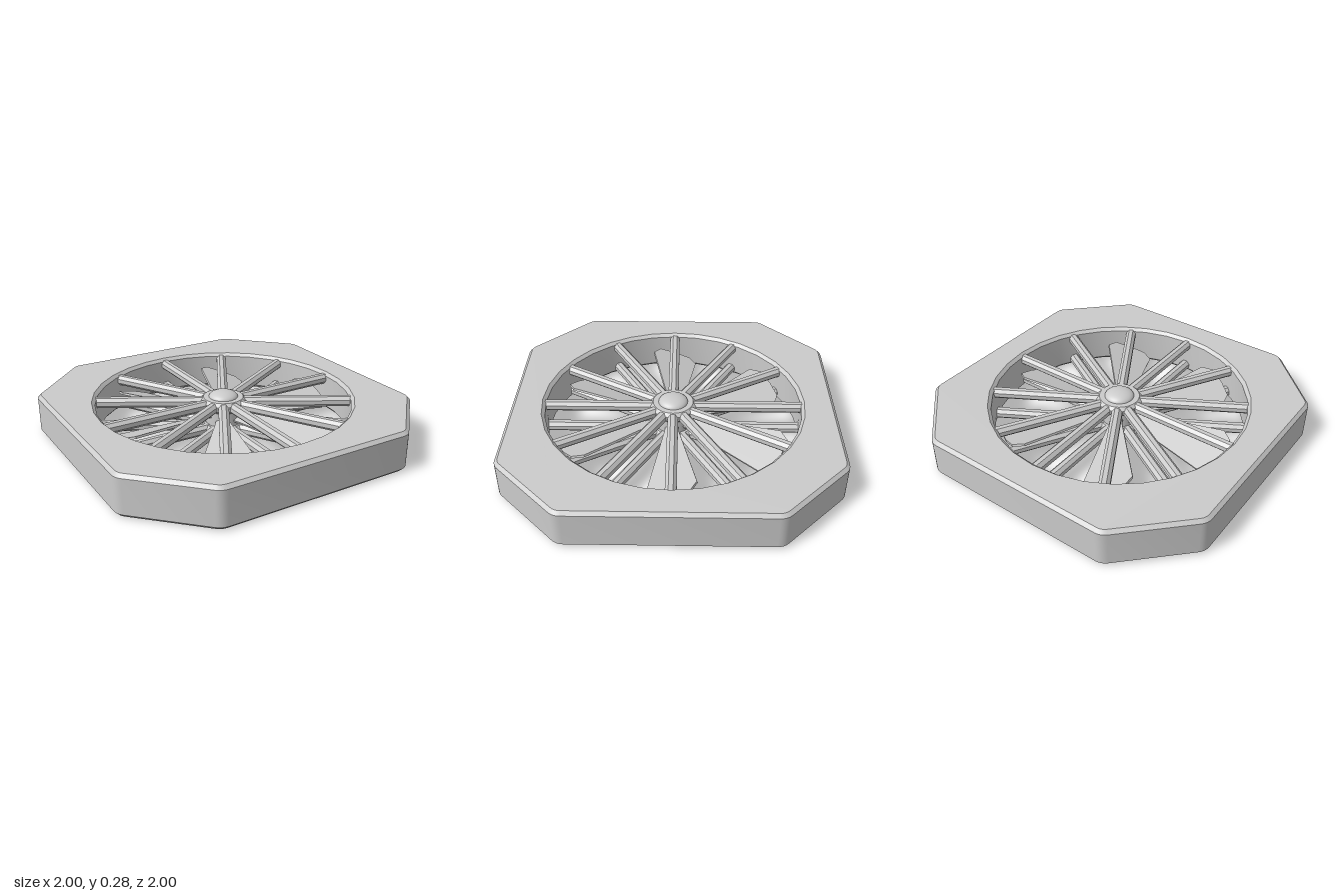
import * as THREE from 'three';
import { toCreasedNormals } from 'three/addons/utils/BufferGeometryUtils.js';

const smoothMat = new THREE.MeshStandardMaterial({ color: 0xcccccc });
const flatMat = new THREE.MeshStandardMaterial({ color: 0xcccccc, flatShading: true });

function mesh(name, geometry, material = smoothMat) {
  const m = new THREE.Mesh(geometry, material);
  m.name = name;
  return m;
}

// Chamfered square with slightly rounded corners, bevelled, with a round bore
function frameGeometry() {
  const half = 0.98, cut = 0.6, round = 0.03;
  const corners = [];
  for (let i = 0; i < 4; i++) {
    for (const [x, y] of [[half, cut], [cut, half]]) {
      corners.push(new THREE.Vector2(x, y).rotateAround(new THREE.Vector2(), i * Math.PI / 2));
    }
  }
  const points = [];
  corners.forEach((c, i) => {
    const toward = (o) => o.clone().sub(c).setLength(round).add(c);
    const a = toward(corners[(i + 7) % 8]), b = toward(corners[(i + 1) % 8]);
    points.push(...new THREE.QuadraticBezierCurve(a, c, b).getPoints(4));
  });
  const shape = new THREE.Shape(points);
  shape.holes.push(new THREE.Path().absarc(0, 0, 0.815, 0, Math.PI * 2, true));
  const g = new THREE.ExtrudeGeometry(shape, {
    depth: 0.21, bevelThickness: 0.02, bevelSize: 0.02, bevelSegments: 1, curveSegments: 16,
  });
  g.rotateX(-Math.PI / 2).translate(0, 0.02, 0);
  return toCreasedNormals(g, 0.5);
}

// Thin paddle lying along +x, pitched about its own length
function bladeGeometry() {
  const outline = [
    [0.08, -0.045], [0.15, -0.055], [0.68, -0.155], [0.735, -0.105], [0.745, 0],
    [0.735, 0.11], [0.67, 0.155], [0.15, 0.035], [0.08, 0.03],
  ].map(([x, y]) => new THREE.Vector2(x, y));
  const g = new THREE.ExtrudeGeometry(new THREE.Shape(outline), { depth: 0.014, bevelEnabled: false });
  return g.translate(0, 0, -0.007).rotateX(-Math.PI / 2).rotateX(0.35);
}

// Eight-sided bar along +x with a flat on top
function spokeGeometry() {
  const g = new THREE.CylinderGeometry(0.035, 0.035, 0.71, 8, 1, false, Math.PI / 8);
  return g.rotateZ(Math.PI / 2).translate(0.445, 0, 0);
}

function lathe(profile) {
  const points = profile.map(([r, y]) => new THREE.Vector2(r, y));
  return toCreasedNormals(new THREE.LatheGeometry(points, 32), 0.5);
}

export function createModel() {
  const model = new THREE.Group();
  model.name = 'axialFan';
  model.add(mesh('frame', frameGeometry()));

  // Guard grilles above and below the rotor
  const spoke = spokeGeometry();
  for (const [name, y] of [['upperGuard', 0.205], ['lowerGuard', 0.045]]) {
    const guard = new THREE.Group();
    guard.name = name;
    for (let i = 0; i < 12; i++) {
      const bar = mesh('spoke', spoke, flatMat);
      bar.position.y = y;
      bar.rotation.y = i * Math.PI / 6;
      guard.add(bar);
    }
    model.add(guard);
  }

  // Hub discs with bevelled rims
  const disc = lathe([[0, 0], [0.125, 0], [0.145, 0.02], [0.145, 0.05], [0.125, 0.07], [0, 0.07]]);
  for (const [name, y] of [['lowerHub', 0.005], ['upperHub', 0.172]]) {
    const hub = mesh(name, disc);
    hub.position.y = y;
    model.add(hub);
  }

  // Rotor core and six pitched blades
  const rotor = new THREE.Group();
  rotor.name = 'rotor';
  rotor.position.y = 0.125;
  rotor.add(mesh('rotorCore', new THREE.CylinderGeometry(0.11, 0.11, 0.14, 32)));
  const blade = bladeGeometry();
  for (let i = 0; i < 6; i++) {
    const b = mesh('blade', blade, flatMat);
    b.rotation.y = i * Math.PI / 3;
    rotor.add(b);
  }
  model.add(rotor);

  // Shallow dome cap
  const cap = mesh('domeCap', new THREE.SphereGeometry(0.092, 32, 10, 0, Math.PI * 2, 0, Math.PI / 2));
  cap.scale.y = 0.45;
  cap.position.y = 0.2385;
  model.add(cap);
  return model;
}
